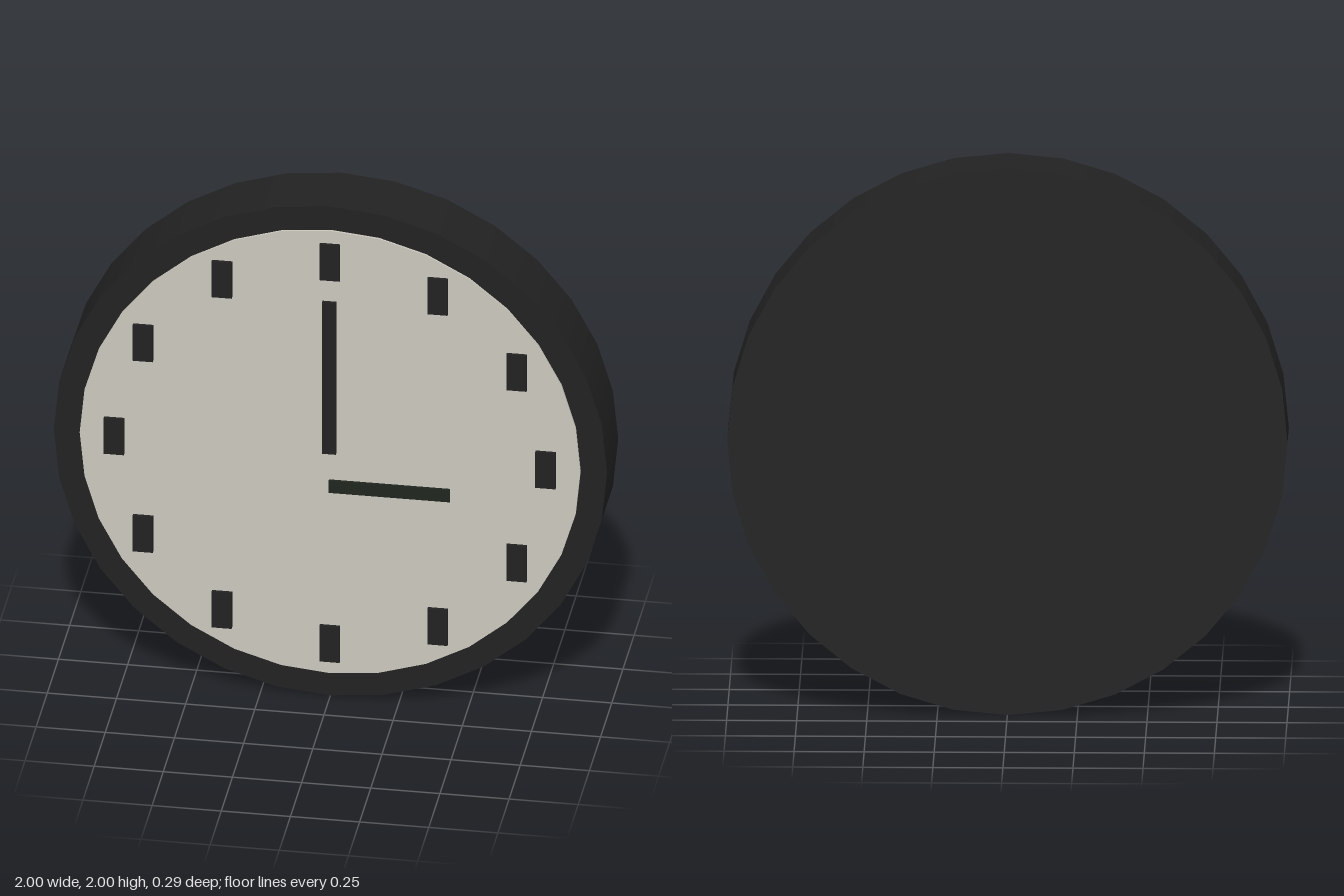
import * as THREE from 'three';

export function createModel() {
  const clock = new THREE.Group();
  clock.name = 'wallClock';

  const black = new THREE.MeshStandardMaterial({ color: 0x222222 });
  black.name = 'black';
  const cream = new THREE.MeshStandardMaterial({ color: 0xcbc8be });
  cream.name = 'cream';
  const darkGreen = new THREE.MeshStandardMaterial({ color: 0x20251f });
  darkGreen.name = 'darkGreen';

  // Every part is placed by its centre x, y and its back and front z.
  function add(name, geometry, material, x, y, back, front) {
    const mesh = new THREE.Mesh(geometry, material);
    mesh.name = name;
    mesh.position.set(x, y, (back + front) / 2);
    clock.add(mesh);
  }
  const disc = (radius, depth) =>
    new THREE.CylinderGeometry(radius, radius, depth, 32).rotateX(Math.PI / 2);

  // Case and dial
  add('case', disc(1, 0.25), black, 0, 1, -0.145, 0.105);
  add('dial', disc(0.905, 0.008), cream, 0, 1, 0.105, 0.113);

  // Twelve upright hour markers
  for (let i = 0; i < 12; i++) {
    const a = (i * Math.PI) / 6;
    add(`hourMarker${i + 1}`, new THREE.BoxGeometry(0.073, 0.146, 0.013), black,
      0.78 * Math.sin(a), 1 + 0.78 * Math.cos(a), 0.113, 0.126);
  }

  // Hands, floating just in front of the dial
  add('minuteHand', new THREE.BoxGeometry(0.05, 0.62, 0.012), black, 0, 1.315, 0.127, 0.139);
  add('hourHand', new THREE.BoxGeometry(0.438, 0.05, 0.01), darkGreen, 0.219, 0.876, 0.136, 0.146);

  return clock;
}
